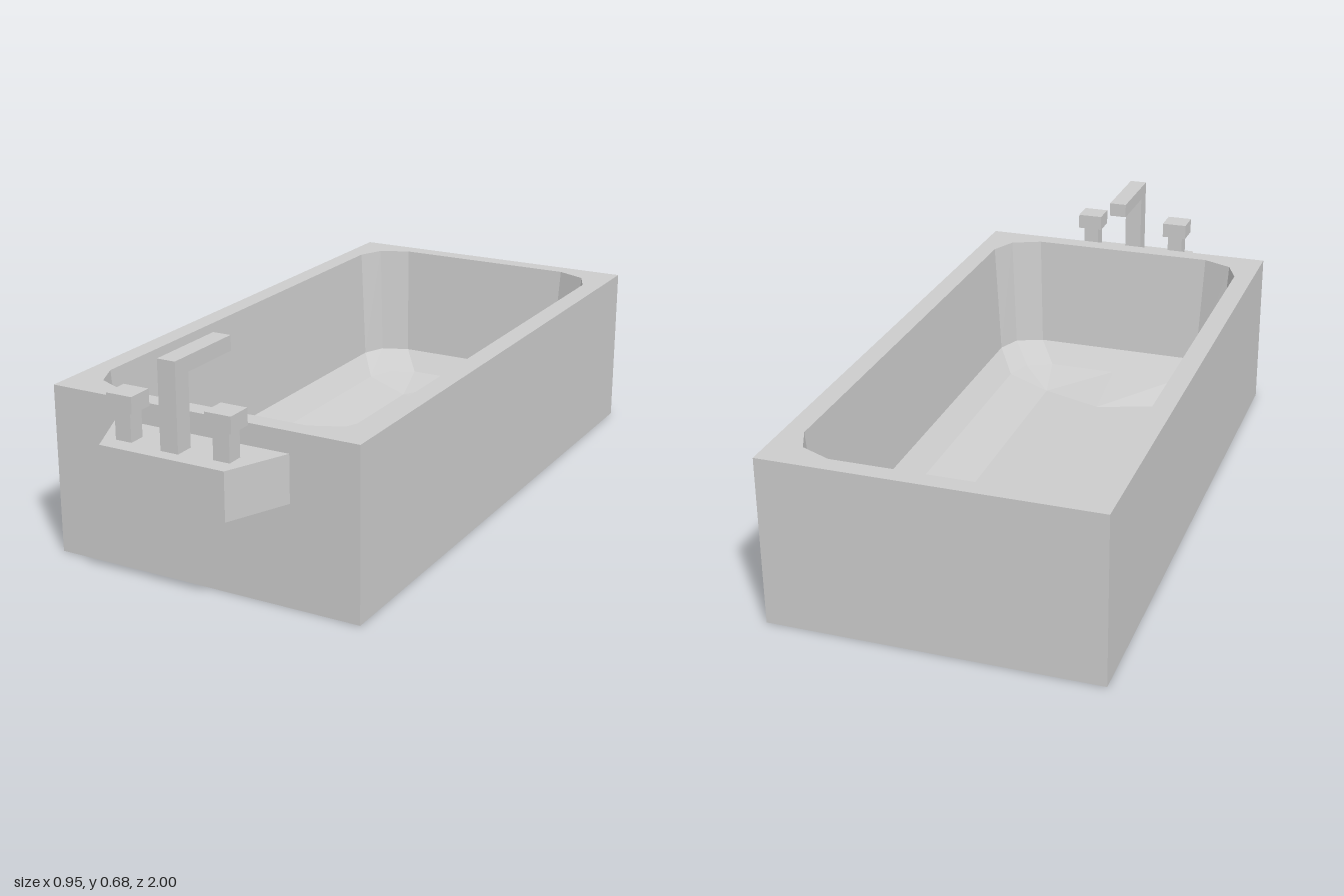
import * as THREE from 'three';

const material = new THREE.MeshStandardMaterial({ color: 0xcccccc, flatShading: true, side: THREE.DoubleSide });

// Skin between successive closed rings of [x, y, z] points
function loft(rings) {
  const pos = [];
  for (let r = 0; r < rings.length - 1; r++) {
    const a = rings[r], b = rings[r + 1], n = a.length;
    for (let i = 0; i < n; i++) {
      const j = (i + 1) % n;
      if (a[i].join() !== a[j].join()) pos.push(...a[i], ...a[j], ...b[j]);
      if (b[i].join() !== b[j].join()) pos.push(...a[i], ...b[j], ...b[i]);
    }
  }
  const g = new THREE.BufferGeometry();
  g.setAttribute('position', new THREE.Float32BufferAttribute(pos, 3));
  g.computeVertexNormals();
  return g;
}

// Chamfered basin outline: half = [x, inset from the end] points, mirrored in x
function basinRing(y, front, back, half) {
  const right = [
    ...half.map(([x, d]) => [x, y, front - d]),
    ...half.map(([x, d]) => [x, y, back + d]).reverse(),
  ];
  const left = right.slice(1, -1).reverse().map(([x, h, z]) => [-x, h, z]);
  return [...right, ...left];
}

// Horizontal face filling a ring, with an optional hole
function flatFace(ring, hole) {
  const to2D = (r) => r.map(([x, , z]) => new THREE.Vector2(x, -z))
    .filter((p, i, all) => i === 0 || !p.equals(all[i - 1]));
  const shape = new THREE.Shape(to2D(ring));
  if (hole) shape.holes.push(new THREE.Path(to2D(hole)));
  return new THREE.ShapeGeometry(shape).rotateX(-Math.PI / 2).translate(0, ring[0][1], 0);
}

export function createModel() {
  const model = new THREE.Group();
  const add = (name, geometry, parent = model) => {
    const mesh = new THREE.Mesh(geometry, material);
    mesh.name = name;
    parent.add(mesh);
  };
  const box = (name, w, y0, y1, z0, z1, parent) => add(name,
    new THREE.BoxGeometry(w, y1 - y0, z1 - z0).translate(0, (y0 + y1) / 2, (z0 + z1) / 2), parent);

  // Outer walls, open underneath
  const W = 0.475, H = 0.495, F = 0.82, B = -1;
  const rect = (y) => [[W, y, F], [W, y, B], [-W, y, B], [-W, y, F]];
  add('outerWalls', loft([rect(0), rect(H)]));

  // Basin: steep walls, then two gentler steps curving into the floor
  const rings = [
    basinRing(H, 0.765, -0.945, [[0, 0], [0.29, 0], [0.38, 0.04], [0.415, 0.12]]),
    basinRing(0.14, 0.74, -0.92, [[0, 0], [0.275, 0], [0.36, 0.035], [0.39, 0.11]]),
    basinRing(0.08, 0.68, -0.865, [[0, 0], [0.22, 0], [0.3, 0.04], [0.33, 0.125]]),
    basinRing(0.035, 0.555, -0.74, [[0, 0.07], [0.2, 0], [0.2, 0], [0.2, 0]]),
  ];
  add('rim', flatFace(rect(H), rings[0]));
  add('basin', loft(rings));
  add('basinFloor', flatFace(rings[3]));

  // Tapered tap ledge on the front wall
  const ledge = (y) => [[0.27, y, F], [-0.27, y, F], [-0.19, y, 1], [0.19, y, 1]].reverse();
  const ledgeGroup = new THREE.Group();
  ledgeGroup.name = 'tapLedge';
  model.add(ledgeGroup);
  add('ledgeSides', loft([ledge(0.296), ledge(0.433)]), ledgeGroup);
  add('ledgeTop', flatFace(ledge(0.433)), ledgeGroup);
  add('ledgeBottom', flatFace(ledge(0.296)), ledgeGroup);

  // Angled spout, drawn in side profile (z, y)
  const profile = new THREE.Shape([
    [0.96, 0.433], [0.96, 0.68], [0.705, 0.68], [0.705, 0.637], [0.903, 0.637], [0.903, 0.433],
  ].map(([z, y]) => new THREE.Vector2(z, y)));
  add('spout', new THREE.ExtrudeGeometry(profile, { depth: 0.054, bevelEnabled: false })
    .rotateY(-Math.PI / 2).translate(0.027, 0, 0));

  // Pair of tap handles
  for (const [side, name] of [[1, 'leftTap'], [-1, 'rightTap']]) {
    const tap = new THREE.Group();
    tap.name = name;
    tap.position.x = side * 0.15;
    box('stem', 0.049, 0.433, 0.517, 0.9, 0.949, tap);
    box('handle', 0.079, 0.517, 0.564, 0.885, 0.962, tap);
    model.add(tap);
  }
  return model;
}
